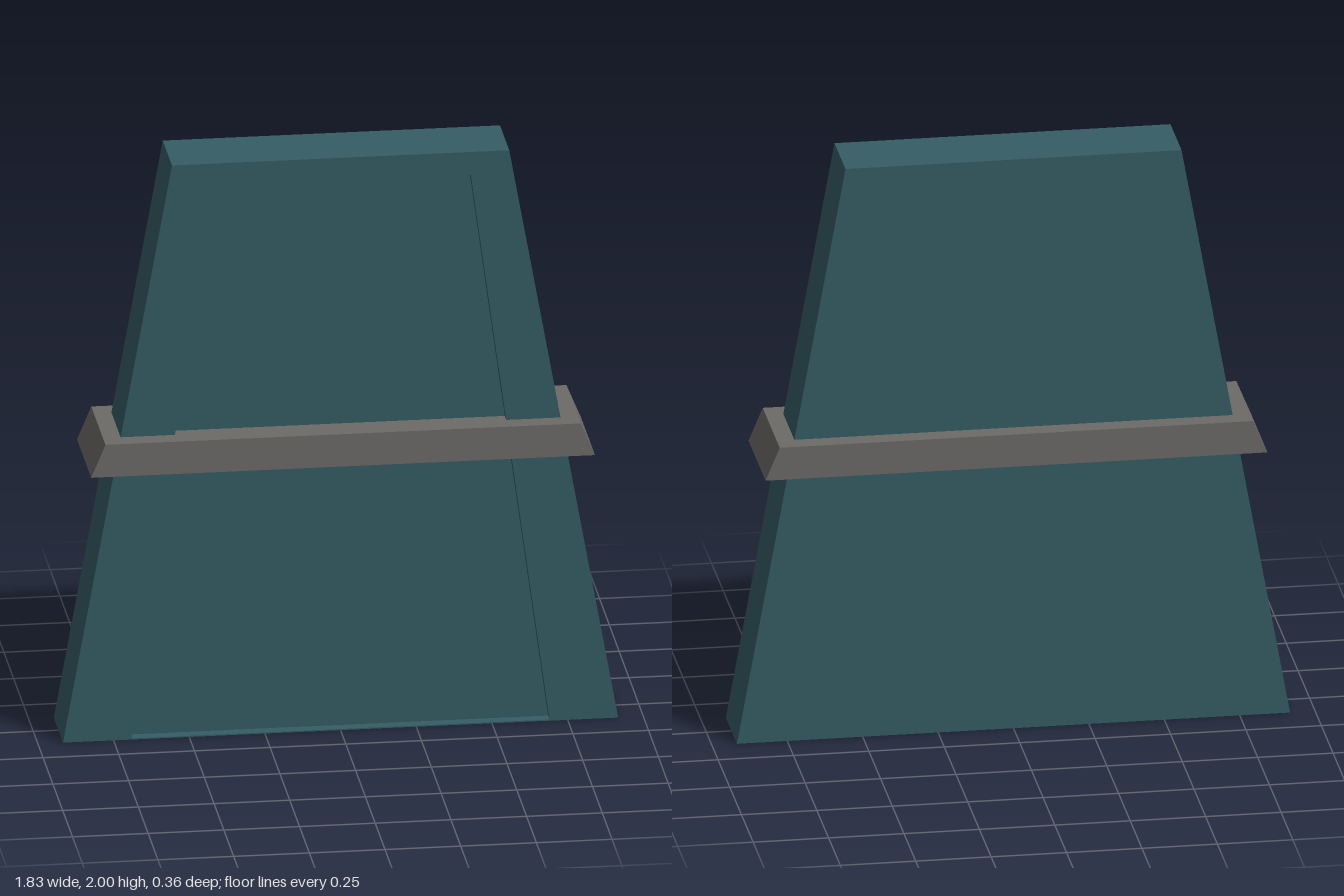
import * as THREE from 'three';

// Symmetric trapezoid outline standing between two heights
function trapezoid(Type, y0, half0, y1, half1) {
  return new Type([[-half0, y0], [half0, y0], [half1, y1], [-half1, y1]]
    .map(([x, y]) => new THREE.Vector2(x, y)));
}

export function createModel() {
  const model = new THREE.Group();
  const teal = new THREE.MeshStandardMaterial({ name: 'dark teal', color: 0x355d64, flatShading: true });
  const grey = new THREE.MeshStandardMaterial({ name: 'warm grey', color: 0x6d6b68, flatShading: true });

  // Extrude an outline from the back plane z0 to the front plane z1
  function addPlate(name, shape, z0, z1, material) {
    const geometry = new THREE.ExtrudeGeometry(shape, { depth: z1 - z0, bevelEnabled: false });
    geometry.translate(0, 0, z0);
    const mesh = new THREE.Mesh(geometry, material);
    mesh.name = name;
    model.add(mesh);
  }

  // Tapered slab whose front is the floor of the recess
  addPlate('bodySlab', trapezoid(THREE.Shape, 0, 0.917, 2, 0.557), -0.118, 0.08, teal);

  // Raised border around the recess, with only a hairline sill at the foot
  const border = trapezoid(THREE.Shape, 0, 0.917, 2, 0.557);
  border.holes.push(trapezoid(THREE.Path, 0.004, 0.69, 1.92, 0.43));
  addPlate('frontBorder', border, 0.08, 0.118, teal);

  // Band around the middle, with slanted ends
  addPlate('middleBand', trapezoid(THREE.Shape, 0.945, 0.832, 1.058, 0.785), -0.182, 0.182, grey);

  return model;
}
